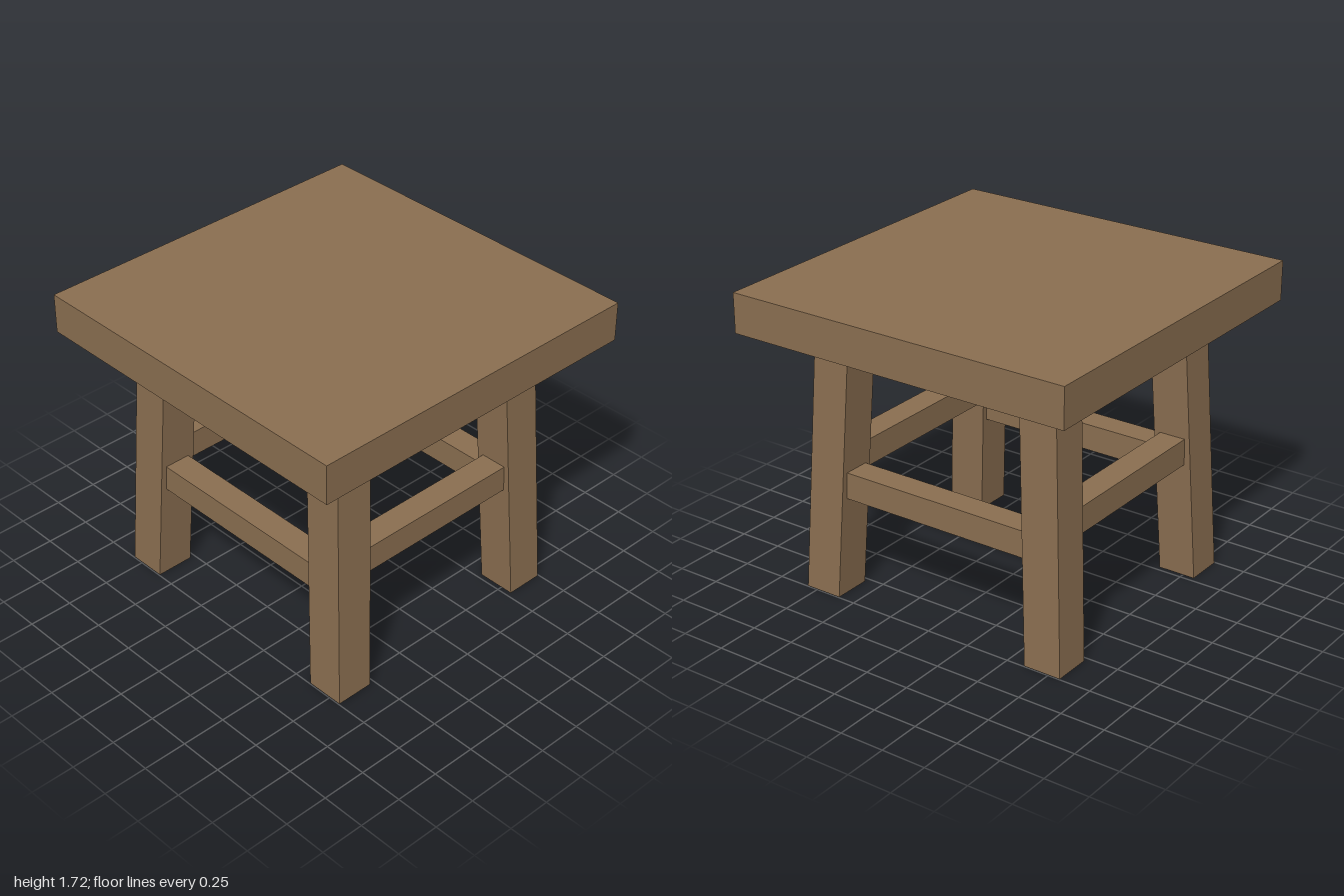
import * as THREE from 'three';

export function createModel() {
  const wood = new THREE.MeshStandardMaterial({ color: 0x8a6e50 });
  wood.name = 'brown wood';
  const stool = new THREE.Group();
  stool.name = 'stool';

  const addBox = (name, size, position) => {
    const mesh = new THREE.Mesh(new THREE.BoxGeometry(...size), wood);
    mesh.name = name;
    mesh.position.set(...position);
    stool.add(mesh);
    return mesh;
  };

  // Thick square seat
  const legHeight = 1.5, legWidth = 0.216;
  addBox('seat', [2, 0.22, 2], [0, legHeight + 0.11, 0]);

  // Leg centre lines lean outward towards the floor
  const legX = (y) => 0.71 - 0.0765 * (y / legHeight);
  const legZ = (y) => 0.637 - 0.0575 * (y / legHeight);

  // Four splayed legs: boxes sheared so both ends stay level
  for (const sx of [-1, 1]) {
    for (const sz of [-1, 1]) {
      const name = (sz > 0 ? 'front' : 'back') + (sx > 0 ? 'Left' : 'Right') + 'Leg';
      const leg = addBox(name, [legWidth, legHeight, legWidth], [0, 0, 0]);
      const p = leg.geometry.attributes.position;
      for (let i = 0; i < p.count; i++) {
        const y = p.getY(i) + legHeight / 2;
        p.setXYZ(i, p.getX(i) + sx * legX(y), y, p.getZ(i) + sz * legZ(y));
      }
      leg.geometry.computeVertexNormals();
    }
  }

  // Stretchers: front and back pair lower, side pair higher, ends set into the legs
  const rail = 0.15, lowY = 0.645, highY = 0.745;
  for (const s of [-1, 1]) {
    addBox(s > 0 ? 'frontStretcher' : 'backStretcher',
      [2 * legX(lowY), rail, rail], [0, lowY, s * legZ(lowY)]);
    addBox(s > 0 ? 'leftStretcher' : 'rightStretcher',
      [rail, rail, 2 * legZ(highY)], [s * legX(highY), highY, 0]);
  }
  return stool;
}
